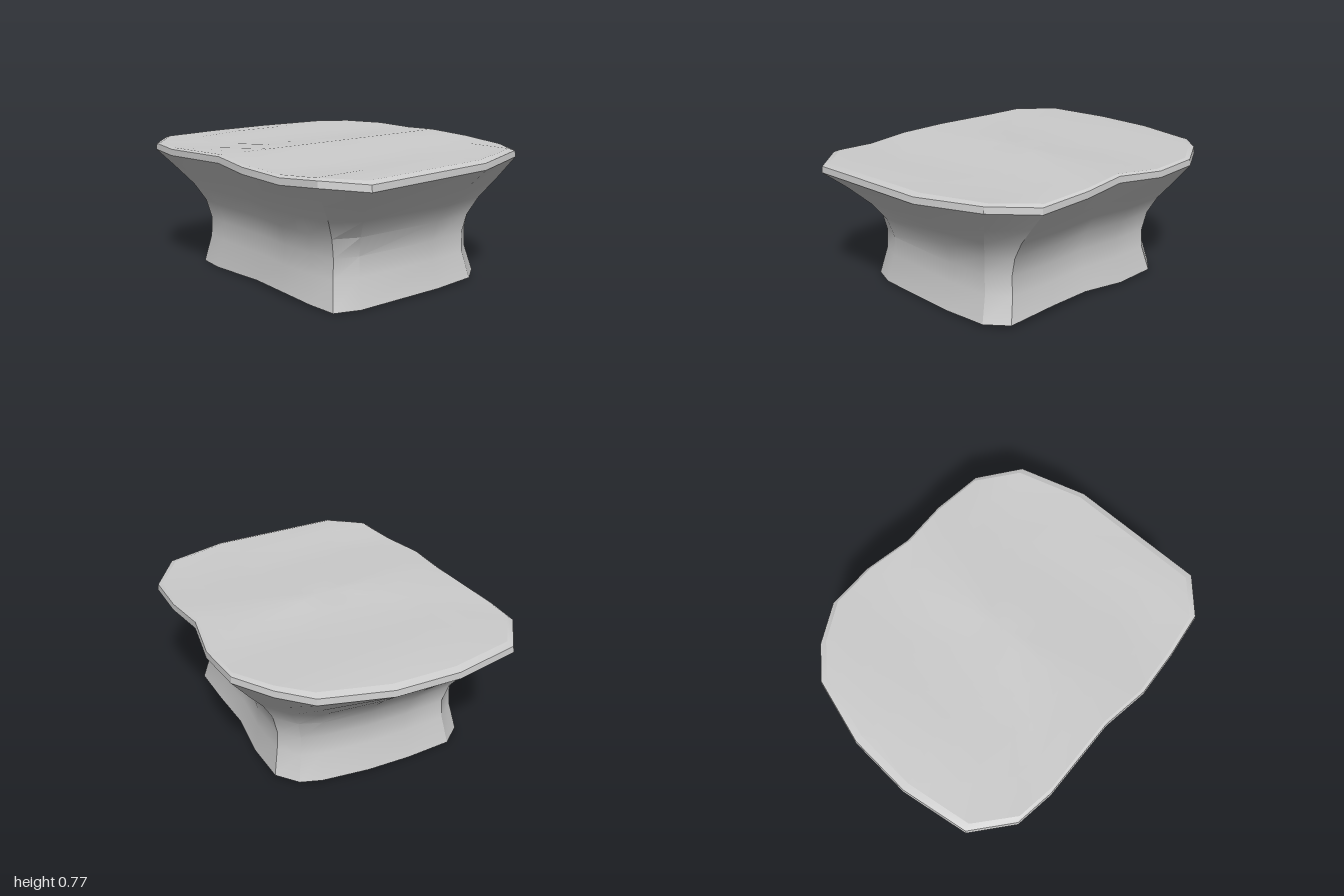
import * as THREE from 'three';
import { toCreasedNormals } from 'three/addons/utils/BufferGeometryUtils.js';

// Outlines [x, z], counter-clockwise seen from above: rim, and matching waist
const RIM = [
  [-0.52, 0.99], [0.27, 0.94], [0.64, 0.8], [0.8, 0.57], [0.805, 0.27], [0.77, 0], [0.81, -0.28],
  [0.785, -0.56], [0.65, -0.77], [0.49, -0.91], [0.11, -1], [-0.26, -1], [-0.64, -0.92],
  [-0.8, -0.7], [-0.815, -0.47], [-0.77, 0], [-0.79, 0.28], [-0.75, 0.56], [-0.7, 0.81],
];
const WAIST = [
  [-0.335, 0.66], [0.17, 0.65], [0.42, 0.62], [0.53, 0.53], [0.53, 0.25], [0.51, 0], [0.53, -0.25],
  [0.52, -0.49], [0.43, -0.59], [0.32, -0.625], [0.07, -0.65], [-0.17, -0.65], [-0.42, -0.63],
  [-0.53, -0.54], [-0.535, -0.38], [-0.51, 0], [-0.52, 0.25], [-0.5, 0.47], [-0.47, 0.62],
];

// Gentle waves of the two end faces, as [z, y]
const TOP_WAVE = [[-1, 0.74], [-0.8, 0.757], [-0.55, 0.75], [-0.28, 0.745], [0, 0.765], [0.3, 0.75], [0.58, 0.735], [0.8, 0.755], [1, 0.74]];
const BASE_WAVE = [[-0.7, 0.012], [-0.5, 0.018], [-0.3, 0.01], [0, 0.03], [0.25, 0.038], [0.4, 0.035], [0.55, 0.02], [0.72, 0.014]];

function sample(wave, z) {
  if (z <= wave[0][0]) return wave[0][1];
  for (let i = 1; i < wave.length; i++) {
    const [z0, y0] = wave[i - 1], [z1, y1] = wave[i];
    if (z <= z1) return THREE.MathUtils.lerp(y0, y1, (z - z0) / (z1 - z0));
  }
  return wave[wave.length - 1][1];
}
const topY = (x, z) => sample(TOP_WAVE, z) + 0.01 * x;
const baseY = (x, z) => sample(BASE_WAVE, z) + 0.014 * x;

// Ring blended from waist (t = 0) to rim (t = 1), scaled, with height y(x, z)
function ring(t, y, sx = 1, sz = sx) {
  return RIM.map(([rx, rz], i) => {
    const x = THREE.MathUtils.lerp(WAIST[i][0], rx, t) * sx;
    const z = THREE.MathUtils.lerp(WAIST[i][1], rz, t) * sz;
    return new THREE.Vector3(x, typeof y === 'number' ? y : y(x, z), z);
  });
}

// Skin between successive rings
function loft(name, rings, crease) {
  const pos = [];
  const tri = (...p) => {
    if (new THREE.Triangle(...p).getArea() > 1e-9) p.forEach((v) => pos.push(v.x, v.y, v.z));
  };
  for (let i = 0; i < rings.length - 1; i++) {
    const lo = rings[i], hi = rings[i + 1];
    for (let j = 0; j < lo.length; j++) {
      const k = (j + 1) % lo.length;
      tri(lo[j], lo[k], hi[k]);
      tri(lo[j], hi[k], hi[j]);
    }
  }
  const geo = new THREE.BufferGeometry();
  geo.setAttribute('position', new THREE.Float32BufferAttribute(pos, 3));
  const mesh = new THREE.Mesh(toCreasedNormals(geo, crease), new THREE.MeshStandardMaterial({ color: 0xcccccc }));
  mesh.name = name;
  return mesh;
}

export function createModel() {
  const group = new THREE.Group();
  group.name = 'flaredPedestal';

  const foot = ring(0, baseY, 1.07);
  const rimLower = ring(1, (x, z) => topY(x, z) - 0.045);
  const rimUpper = ring(1, (x, z) => topY(x, z) - 0.01, 0.995);
  const topEdge = ring(1, topY, 0.975, 0.955);

  // Underside
  group.add(loft('underside', [0, 0.35, 0.7, 1].map((s) => ring(0, baseY, 1.07 * s)), 0.5));

  // Waisted wall flaring out to the rim
  group.add(loft('flaredWall', [
    foot, ring(0.02, 0.17), ring(0, 0.28), ring(0.1, 0.39),
    ring(0.32, 0.49), ring(0.65, 0.595), rimLower,
  ], 0.45));

  // Narrow rim band and bevel
  group.add(loft('rim', [rimLower, rimUpper, topEdge], 0.4));

  // Wavy top surface
  group.add(loft('topSurface', [topEdge, ...[0.8, 0.6, 0.4, 0.2, 0].map((s) => ring(1, topY, 0.975 * s, 0.955 * s))], 0.6));

  return group;
}
